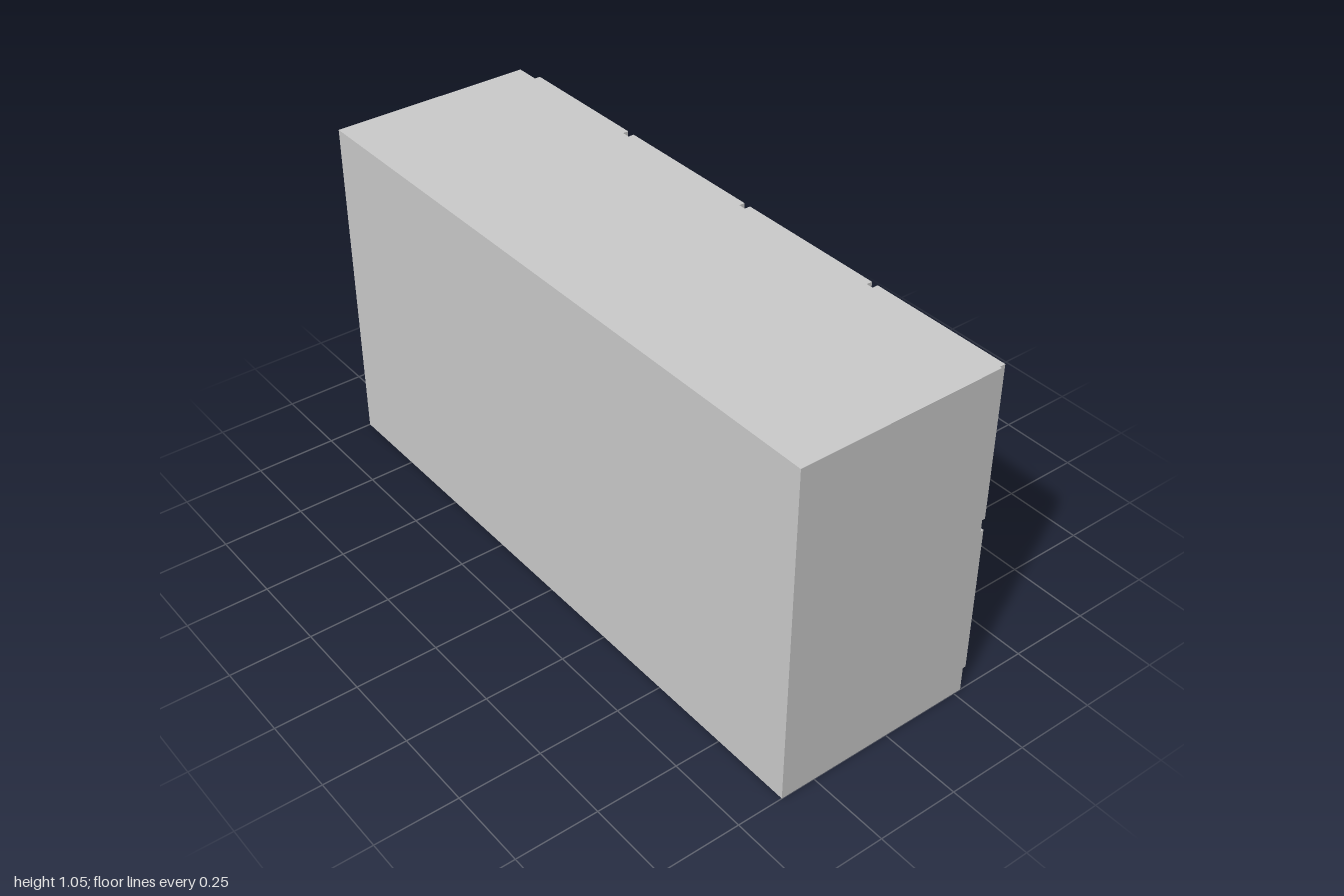
import * as THREE from 'three';

const material = new THREE.MeshStandardMaterial({ color: 0xcccccc, flatShading: true });

// Box given by its lower and upper limits on each axis
function boxBetween(name, [x0, x1], [y0, y1], [z0, z1]) {
  const mesh = new THREE.Mesh(new THREE.BoxGeometry(x1 - x0, y1 - y0, z1 - z0), material);
  mesh.position.set((x0 + x1) / 2, (y0 + y1) / 2, (z0 + z1) / 2);
  mesh.name = name;
  return mesh;
}

// Bar handle whose ends taper slightly away from the drawer; its base lies on x = 0
function handleGeometry(length, depth, height, taper) {
  const h = length / 2;
  const outline = new THREE.Shape([
    new THREE.Vector2(0, -h),
    new THREE.Vector2(depth, -h + taper),
    new THREE.Vector2(depth, h - taper),
    new THREE.Vector2(0, h),
  ]);
  const geometry = new THREE.ExtrudeGeometry(outline, { depth: height, bevelEnabled: false });
  return geometry.rotateX(-Math.PI / 2);
}

export function createModel() {
  const model = new THREE.Group();
  model.name = 'drawerCabinet';

  // Cabinet body
  model.add(boxBetween('cabinetBody', [-0.358, 0.275], [0, 1.053], [-1, 1]));

  // Drawer rows and columns, each with its handle position
  const rows = [
    { y: [0.03, 0.509], handleY: 0.265 },
    { y: [0.546, 1.025], handleY: 0.765 },
  ];
  const columns = [
    { z: [-0.97, -0.526], handleZ: -0.74 },
    { z: [-0.5, -0.003], handleZ: -0.247 },
    { z: [0.02, 0.502], handleZ: 0.27 },
    { z: [0.523, 0.967], handleZ: 0.762 },
  ];
  const handleShape = handleGeometry(0.182, 0.033, 0.038, 0.011);

  for (const row of rows) {
    for (const column of columns) {
      const drawer = new THREE.Group();
      drawer.name = 'drawer';
      drawer.add(boxBetween('drawerFront', [0.275, 0.325], row.y, column.z));

      const handle = new THREE.Mesh(handleShape, material);
      handle.name = 'drawerHandle';
      handle.position.set(0.325, row.handleY, column.handleZ);
      drawer.add(handle);
      model.add(drawer);
    }
  }
  return model;
}
